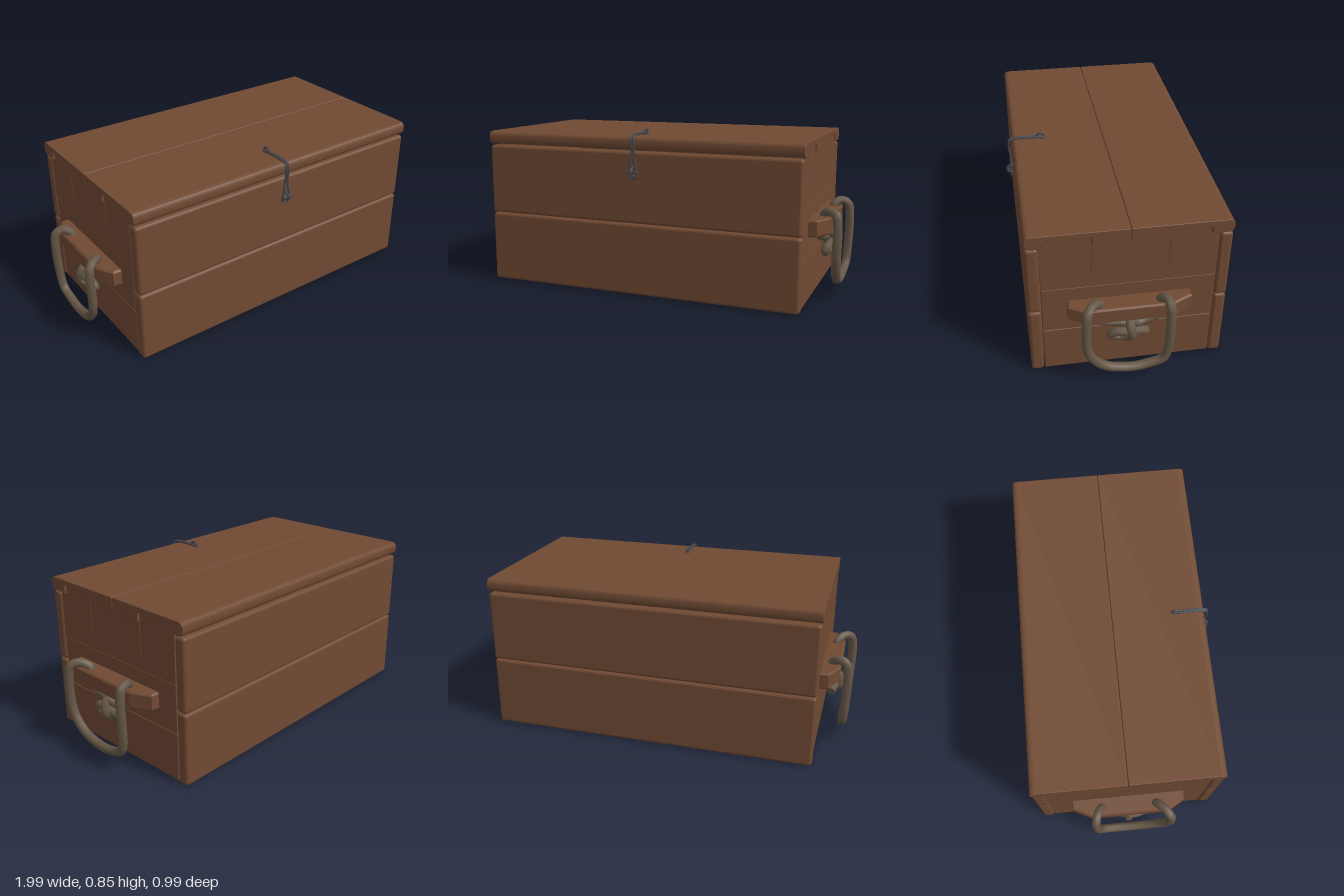
import * as THREE from 'three';
import { RoundedBoxGeometry } from 'three/addons/geometries/RoundedBoxGeometry.js';

const wood = new THREE.MeshStandardMaterial({ color: 0x704a33 });
wood.name = 'brown wood';
const ropeFibre = new THREE.MeshStandardMaterial({ color: 0x665747 });
ropeFibre.name = 'old rope';
const iron = new THREE.MeshStandardMaterial({ color: 0x46464b });
iron.name = 'dark iron';

const vec = (p) => new THREE.Vector3(...p);

function add(parent, name, geometry, material) {
  const mesh = new THREE.Mesh(geometry, material);
  mesh.name = name;
  parent.add(mesh);
  return mesh;
}

// Rounded plank given by its limits on each axis
function plank(parent, name, [x0, x1], [y0, y1], [z0, z1], radius) {
  const g = new RoundedBoxGeometry(x1 - x0, y1 - y0, z1 - z0, 3, radius);
  g.translate((x0 + x1) / 2, (y0 + y1) / 2, (z0 + z1) / 2);
  return add(parent, name, g, wood);
}

// Profile in (z, y) extruded along x between two limits, with bevelled ends
function extrudeAlongX(shape, x0, x1, bevel) {
  const g = new THREE.ExtrudeGeometry(shape, {
    depth: x1 - x0 - 2 * bevel, curveSegments: 5, bevelEnabled: bevel > 0,
    bevelSize: bevel, bevelThickness: bevel, bevelOffset: -bevel, bevelSegments: 3,
  });
  g.rotateY(-Math.PI / 2);
  g.translate(x1 - bevel, 0, 0);
  return g;
}

// Round cord through points, with flat cut ends
function cord(parent, name, points, radius, material, segments, sides = 8, closed = false) {
  const curve = new THREE.CatmullRomCurve3(points.map(vec), closed, 'centripetal');
  const mesh = add(parent, name, new THREE.TubeGeometry(curve, segments, radius, sides, closed), material);
  if (closed) return mesh;
  for (const t of [0, 1]) {
    const cap = add(parent, name + 'End', new THREE.CircleGeometry(radius, sides), material);
    const dir = curve.getTangent(t).multiplyScalar(t ? 1 : -1);
    cap.position.copy(curve.getPoint(t));
    cap.lookAt(cap.position.clone().add(dir));
  }
  return mesh;
}

// Lid board: rounded outer edges and a notch underneath for the end-board tab
function lidBoard(z0, z1, n0, n1, frontRounded) {
  const r = 0.03, s = 0.006, yB = 0.746, yT = 0.815, yN = 0.783;
  const ra = frontRounded ? s : r, rb = frontRounded ? r : s;
  const p = new THREE.Shape();
  p.moveTo(z0 + ra, yB);
  p.lineTo(n0, yB).lineTo(n0, yN).lineTo(n1, yN).lineTo(n1, yB).lineTo(z1 - rb, yB);
  p.quadraticCurveTo(z1, yB, z1, yB + rb);
  p.lineTo(z1, yT - rb);
  p.quadraticCurveTo(z1, yT, z1 - rb, yT);
  p.lineTo(z0 + ra, yT);
  p.quadraticCurveTo(z0, yT, z0, yT - ra);
  p.lineTo(z0, yB + ra);
  p.quadraticCurveTo(z0, yB, z0 + ra, yB);
  return extrudeAlongX(p, -0.852, 0.852, 0.004);
}

// Top end board with two tabs and two saw cuts
function tabbedBoard() {
  return new THREE.Shape([
    [-0.426, 0.5], [0.391, 0.5], [0.391, 0.742], [0.348, 0.742], [0.348, 0.78], [0.16, 0.78],
    [0.16, 0.58], [0.157, 0.58], [0.157, 0.742], [-0.198, 0.742], [-0.198, 0.58], [-0.201, 0.58],
    [-0.201, 0.78], [-0.386, 0.78], [-0.386, 0.742], [-0.426, 0.742],
  ].map(([z, y]) => new THREE.Vector2(z, y)));
}

// Handle block with a knotted rope loop; s is the side (+1 or -1)
function createHandle(s) {
  const handle = new THREE.Group();
  handle.name = s > 0 ? 'leftHandle' : 'rightHandle';

  const outline = [[0.83, 0.275], [0.885, 0.275], [0.932, 0.19], [0.932, -0.21], [0.885, -0.31], [0.83, -0.31]];
  const block = new THREE.ExtrudeGeometry(
    new THREE.Shape(outline.map(([x, z]) => new THREE.Vector2(s * x, -z))),
    { depth: 0.069, bevelSize: 0.008, bevelThickness: 0.008, bevelOffset: -0.008, bevelSegments: 1 });
  block.rotateX(-Math.PI / 2);
  block.translate(0, 0.348, 0);
  add(handle, 'handleBlock', block, wood);

  // Each point is x, y, z on the left side
  const side = (pts) => pts.map(([x, y, z]) => [s * x, y, z]);
  cord(handle, 'ropeLoop', side([
    [0.885, 0.38, 0.12], [0.893, 0.43, 0.13], [0.925, 0.453, 0.165], [0.962, 0.44, 0.192], [0.972, 0.39, 0.2],
    [0.97, 0.22, 0.196], [0.966, 0.15, 0.165], [0.962, 0.1, 0.11], [0.96, 0.077, 0.04], [0.96, 0.071, -0.03],
    [0.96, 0.082, -0.1], [0.964, 0.11, -0.165], [0.968, 0.16, -0.186], [0.973, 0.39, -0.192],
    [0.962, 0.438, -0.19], [0.925, 0.453, -0.18], [0.893, 0.43, -0.16], [0.885, 0.38, -0.155],
  ]), 0.023, ropeFibre, 90);
  cord(handle, 'knotStrand', side([
    [0.882, 0.37, 0.14], [0.88, 0.325, 0.13], [0.878, 0.305, 0.08], [0.88, 0.292, 0.01], [0.884, 0.262, -0.04],
    [0.888, 0.222, -0.025], [0.89, 0.212, 0.025], [0.895, 0.232, 0.075], [0.906, 0.257, 0.055],
    [0.915, 0.263, 0.01], [0.905, 0.252, -0.045], [0.892, 0.235, -0.1],
  ]), 0.022, ropeFibre, 64);
  cord(handle, 'knotWrap', side([
    [0.882, 0.37, -0.155], [0.88, 0.325, -0.155], [0.88, 0.303, -0.11], [0.89, 0.293, -0.055],
    [0.908, 0.312, -0.015], [0.928, 0.285, -0.015], [0.925, 0.24, -0.02], [0.902, 0.218, 0.005], [0.88, 0.235, 0.03],
  ]), 0.022, ropeFibre, 50);
  return handle;
}

// Wire hook that runs from the lid staple down to the front staple
function createLatch() {
  const latch = new THREE.Group();
  latch.name = 'latch';
  for (const s of [1, -1]) {
    cord(latch, 'hookWire', [
      [s * 0.004, 0.818, 0.285], [s * 0.005, 0.824, 0.33], [s * 0.005, 0.823, 0.44], [s * 0.005, 0.815, 0.467],
      [s * 0.006, 0.785, 0.474], [s * 0.007, 0.72, 0.468], [s * 0.015, 0.67, 0.47],
      [s * 0.021, 0.63, 0.47], [s * 0.016, 0.61, 0.469], [0, 0.607, 0.469],
    ], 0.006, iron, 50, 6);
  }
  cord(latch, 'lidStaple', [
    [0, 0.805, 0.32], [0, 0.835, 0.321], [0, 0.841, 0.312], [0, 0.841, 0.298], [0, 0.835, 0.29], [0, 0.805, 0.291],
  ], 0.006, iron, 24, 6);
  cord(latch, 'frontStaple', [
    [0, 0.625, 0.44], [0, 0.62, 0.475], [0, 0.628, 0.488], [0, 0.648, 0.489], [0, 0.66, 0.475], [0, 0.655, 0.44],
  ], 0.006, iron, 24, 6);
  const pin = add(latch, 'staplePin', new THREE.CylinderGeometry(0.006, 0.006, 0.054, 6), iron);
  pin.rotation.z = Math.PI / 2;
  pin.position.set(0, 0.64, 0.483);
  return latch;
}

export function createModel() {
  const chest = new THREE.Group();
  chest.name = 'woodenChest';

  // Front and back planks
  const rows = [['lower', [0, 0.371]], ['upper', [0.373, 0.74]]];
  for (const [label, y] of rows) {
    plank(chest, label + 'FrontPlank', [-0.848, 0.848], y, [0.395, 0.455], 0.016);
    plank(chest, label + 'BackPlank', [-0.848, 0.848], y, [-0.49, -0.43], 0.016);
  }

  // End boards and handles
  for (const s of [1, -1]) {
    const x = s > 0 ? [0.78, 0.842] : [-0.842, -0.78];
    plank(chest, 'lowerEndBoard', x, [0.004, 0.249], [-0.426, 0.391], 0.005);
    plank(chest, 'middleEndBoard', x, [0.25, 0.499], [-0.426, 0.391], 0.003);
    add(chest, 'tabbedEndBoard', extrudeAlongX(tabbedBoard(), x[0], x[1], 0), wood);
    chest.add(createHandle(s));
  }

  // Floor
  plank(chest, 'floor', [-0.779, 0.779], [0.008, 0.06], [-0.43, 0.395], 0.003);

  // Lid
  add(chest, 'frontLidBoard', lidBoard(-0.019, 0.455, 0.157, 0.351, true), wood);
  add(chest, 'backLidBoard', lidBoard(-0.49, -0.021, -0.389, -0.198, false), wood);

  chest.add(createLatch());
  return chest;
}
